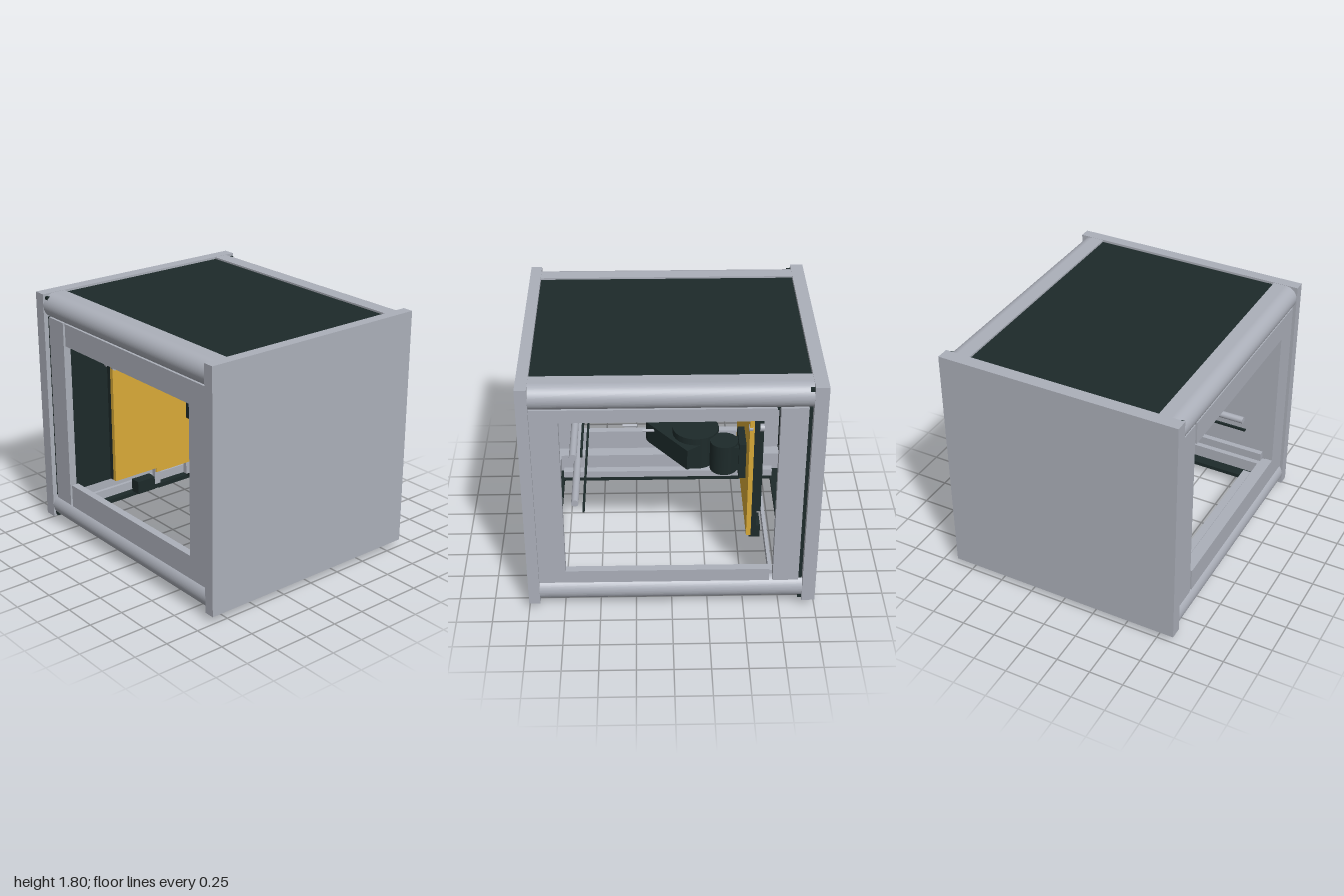
import * as THREE from 'three';

const mat = (name, color) => Object.assign(new THREE.MeshStandardMaterial({ color }), { name });

export function createModel() {
  const model = new THREE.Group();
  model.name = 'equipmentEnclosure';
  const grey = mat('aluminiumGrey', 0xacb0ba);
  const dark = mat('darkGreen', 0x1d2a2a);
  const gold = mat('gold', 0xdaab38);

  const add = (name, geo, m, parent = model) => {
    const mesh = new THREE.Mesh(geo, m);
    mesh.name = name;
    parent.add(mesh);
    return mesh;
  };
  // Box from its minimum and maximum on each axis
  const box = (name, m, x0, x1, y0, y1, z0, z1, parent) => {
    const mesh = add(name, new THREE.BoxGeometry(x1 - x0, y1 - y0, z1 - z0), m, parent);
    mesh.position.set((x0 + x1) / 2, (y0 + y1) / 2, (z0 + z1) / 2);
    return mesh;
  };
  // Cylinder along an axis
  const rod = (name, m, axis, r, len, x, y, z, parent, sides = 24) => {
    const geo = new THREE.CylinderGeometry(r, r, len, sides);
    if (axis === 'x') geo.rotateZ(Math.PI / 2);
    if (axis === 'z') geo.rotateX(Math.PI / 2);
    const mesh = add(name, geo, m, parent);
    mesh.position.set(x, y, z);
    return mesh;
  };

  // End plates
  box('frontPlate', grey, -0.873, 0.873, 0.055, 1.8, 0.922, 1);
  box('backPlate', grey, -0.873, 0.873, 0.055, 1.8, -1, -0.908);

  // Corner rails: square inside, half round outside
  const profile = new THREE.Shape();
  profile.moveTo(-0.09, -0.089);
  profile.lineTo(0, -0.089);
  profile.absarc(0, 0, 0.089, -Math.PI / 2, Math.PI / 2, false);
  profile.lineTo(-0.09, 0.089);
  profile.closePath();
  const railGeo = new THREE.ExtrudeGeometry(profile, { depth: 1.83, bevelEnabled: false, curveSegments: 24 });
  railGeo.translate(0, 0, -0.915);
  for (const side of [1, -1]) {
    for (const y of [0.146, 1.709]) {
      const rail = add('cornerRail', railGeo, grey);
      rail.position.set(side * 0.782, y, 0.007);
      if (side < 0) rail.rotation.z = Math.PI;
    }
  }

  // Side frames with a narrow slot before the rear post; the right opening is lower
  for (const [s, low, high] of [[1, 0.32, 1.54], [-1, 0.39, 1.47]]) {
    const side = new THREE.Group();
    side.name = s > 0 ? 'leftSideFrame' : 'rightSideFrame';
    model.add(side);
    const bar = (name, m, a, b, ...rest) =>
      box(name, m, Math.min(s * a, s * b), Math.max(s * a, s * b), ...rest, side);
    bar('frontPost', grey, 0.795, 0.85, 0.22, 1.635, 0.735, 0.925);
    bar('rearPost', grey, 0.795, 0.85, 0.22, 1.635, -0.88, -0.7);
    bar('lowerBar', grey, 0.795, 0.85, 0.22, low, -0.675, 0.735);
    bar('upperBar', grey, 0.795, 0.85, high, 1.635, -0.675, 0.735);
    for (const y of [0.08, 1.77]) bar('panelClip', dark, 0.83, 0.855, y - 0.012, y + 0.012, -0.91, -0.88);
  }

  // Cross members between the side frames
  box('rearLowerCrossbar', grey, -0.795, 0.795, 0.2, 0.265, -0.7, -0.675);
  box('rearUpperCrossbar', dark, -0.795, 0.795, 1.59, 1.63, -0.7, -0.675);
  box('frontLowerCrossbar', grey, -0.7, 0.7, 0.14, 0.235, 0.84, 0.925);
  box('frontLowerStep', grey, -0.7, 0.7, 0.235, 0.3, 0.88, 0.925);

  // Dark panels: solid roof and back, open bottom ring
  box('roofPanel', dark, -0.692, 0.692, 1.755, 1.785, -0.905, 0.92);
  box('backPanel', dark, -0.84, 0.84, 0.23, 1.63, -0.905, -0.88);
  const ring = new THREE.Shape();
  const rect = (p, x, z) => {
    p.moveTo(-x, -z); p.lineTo(x, -z); p.lineTo(x, z); p.lineTo(-x, z); p.closePath();
    return p;
  };
  rect(ring, 0.692, 0.912);
  ring.holes.push(rect(new THREE.Path(), 0.59, 0.81));
  const ringGeo = new THREE.ExtrudeGeometry(ring, { depth: 0.03, bevelEnabled: false });
  ringGeo.rotateX(-Math.PI / 2);
  add('bottomRing', ringGeo, dark).position.set(0, 0.065, 0.005);
  for (const s of [1, -1]) {
    box('bottomInnerBar', grey, s * 0.62 - 0.03, s * 0.62 + 0.03, 0.095, 0.15, -0.82, 0.82);
  }

  // Flat plate under the back, with plain inlays
  box('underPlate', dark, 0.05, 0.52, 0.046, 0.056, -0.94, -0.83);
  for (let i = 0; i < 5; i++) {
    box('plateInlay', gold, 0.25 + i * 0.048, 0.28 + i * 0.048, 0.045, 0.047, -0.895, -0.872);
  }

  // Grab handle below the left rail
  rod('handleBar', grey, 'z', 0.022, 0.715, 0.69, 0.024, 0.053);
  for (const z of [0.32, -0.21]) rod('handlePost', grey, 'y', 0.016, 0.06, 0.69, 0.045, z);

  // Cross rods near the front
  for (const y of [1.115, 0.735]) rod('crossRod', grey, 'x', 0.026, 1.25, 0, y, 0.665);
  for (const y of [1.158, 0.697]) box('thinRod', dark, -0.67, 0.67, y - 0.008, y + 0.008, 0.597, 0.613);

  // Dashed line of short pins falling toward the arm
  for (let i = 0; i < 5; i++) rod('guidePin', grey, 'z', 0.011, 0.105, 0, 1.096 - i * 0.044, 0.715 - i * 0.1435, model, 12);

  // Gold mounting plate, its dark backing and the foot below it
  box('mountPlate', gold, -0.558, 0.558, 0.39, 1.515, -0.562, -0.53);
  box('mountTab', gold, -0.18, 0.18, 0.35, 0.39, -0.55, -0.54);
  box('backingPlate', dark, -0.558, 0.558, 0.39, 1.51, -0.598, -0.562);
  box('backingBox', dark, -0.42, 0.42, 0.5, 1.4, -0.64, -0.598);
  for (const s of [1, -1]) {
    rod('plateScrewFront', grey, 'z', 0.026, 0.026, s * 0.536, 1.285, -0.538);
    rod('plateScrewBack', grey, 'z', 0.026, 0.03, s * 0.536, 1.285, -0.613);
    box('footPost', grey, s * 0.15 - 0.025, s * 0.15 + 0.025, 0.24, 0.385, -0.6, -0.565);
    box('footBlock', dark, s * 0.25 - 0.08, s * 0.25 + 0.08, 0.2, 0.3, -0.65, -0.57);
  }

  // Folding arm: wall bracket, knuckle, elbow and link
  const arm = new THREE.Group();
  arm.name = 'foldingArm';
  model.add(arm);
  box('wallBracket', dark, 0.1, 0.335, 0.73, 1.01, -0.53, -0.48, arm);
  rod('knuckle', dark, 'y', 0.1, 0.23, 0.235, 0.87, -0.38, arm);
  box('knuckleNeck', dark, 0.16, 0.31, 0.78, 0.97, -0.49, -0.38, arm);
  rod('elbow', dark, 'y', 0.165, 0.24, 0.08, 0.88, -0.185, arm);
  rod('elbowCap', dark, 'y', 0.15, 0.02, 0.08, 0.75, -0.185, arm);
  rod('elbowNut', grey, 'y', 0.04, 0.02, 0.08, 0.73, -0.185, arm, 6);
  const dx = -0.36, dz = 0.27;
  const link = box('link', dark, -0.09, 0.09, 0.79, 0.95, -0.225, 0.225, arm);
  link.position.set(0.26 + dx / 2, 0.87, -0.19 + dz / 2);
  link.rotation.y = Math.atan2(dx, dz);
  rod('linkEnd', dark, 'y', 0.09, 0.16, -0.1, 0.87, 0.08, arm);

  return model;
}
